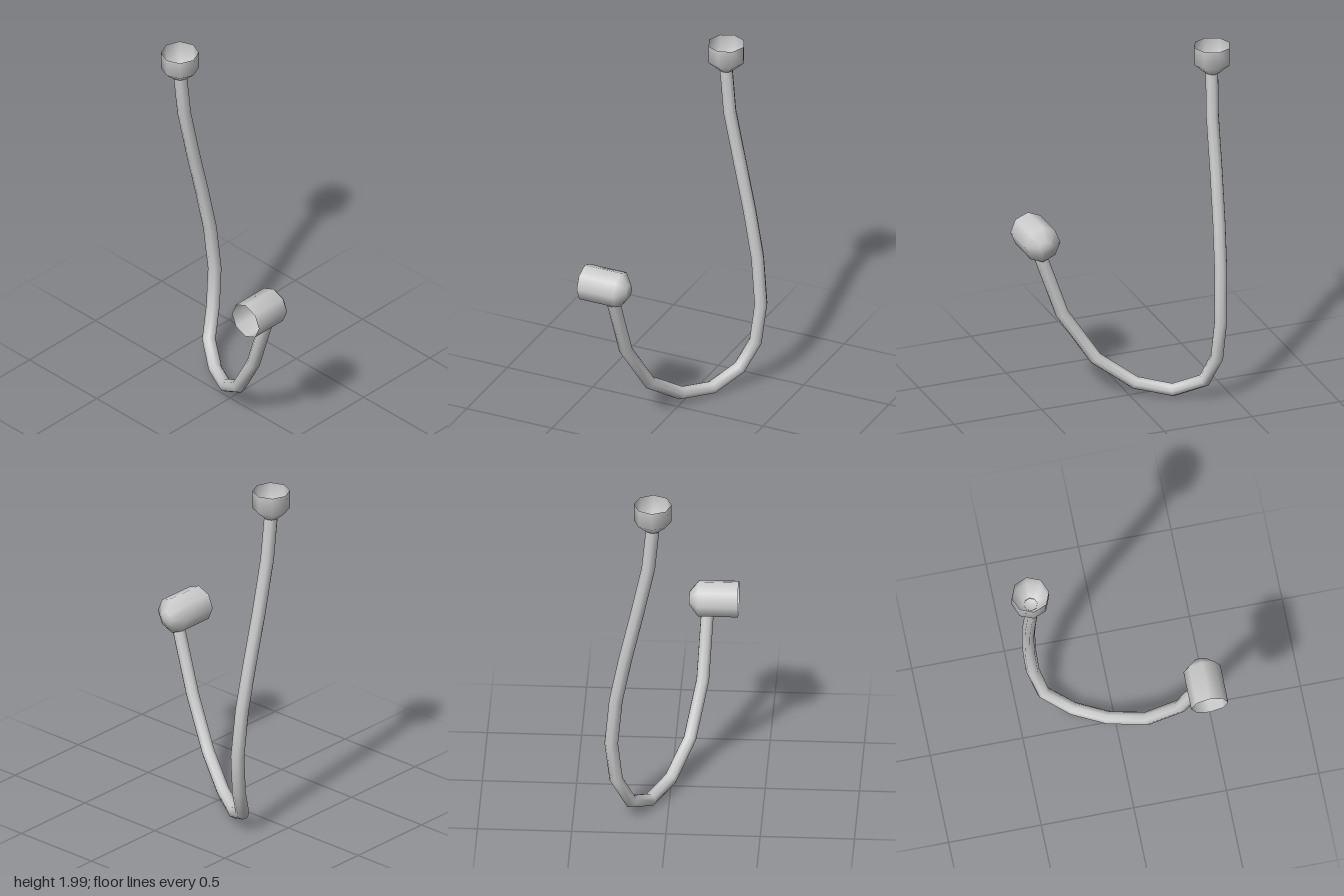
import * as THREE from 'three';

const material = new THREE.MeshStandardMaterial({ color: 0xcccccc, side: THREE.DoubleSide });
const SIDES = 8;

// Open octagonal cup with a tapered, closed base; its mouth faces +y
function makeCup(name, straight, taper) {
  const profile = [[0, 0], [0.037, 0], [0.1, taper], [0.1, taper + straight]]
    .map(([r, y]) => new THREE.Vector2(r, y));
  const cup = new THREE.Mesh(new THREE.LatheGeometry(profile, SIDES), material);
  cup.name = name;
  return cup;
}

export function createModel() {
  const model = new THREE.Group();
  model.name = 'hookedArm';

  // Bent arm: one ring of the tube at every path point
  const path = new THREE.CatmullRomCurve3([
    [0.073, 1.85, -0.443], [0.097, 1.6, -0.437], [0.16, 1.3, -0.433],
    [0.22, 1.03, -0.425], [0.27, 0.77, -0.415], [0.295, 0.5, -0.405],
    [0.27, 0.275, -0.393], [0.195, 0.115, -0.35], [0.1, 0.043, -0.21],
    [0.0, 0.073, -0.035], [-0.092, 0.21, 0.155], [-0.152, 0.475, 0.322],
    [-0.17, 0.815, 0.437],
  ].map((p) => new THREE.Vector3(...p)));
  path.getPointAt = path.getPoint;
  path.getTangentAt = path.getTangent;
  const arm = new THREE.Mesh(
    new THREE.TubeGeometry(path, path.points.length - 1, 0.036, SIDES), material);
  arm.name = 'arm';
  model.add(arm);

  // Upright cup at the top of the arm
  const topCup = makeCup('topCup', 0.1, 0.057);
  topCup.position.set(0.073, 1.843, -0.445);
  model.add(topCup);

  // Sideways cup at the low end, mouth towards -x
  const sideCup = makeCup('sideCup', 0.212, 0.048);
  sideCup.rotation.z = Math.PI / 2;
  sideCup.position.set(-0.075, 0.905, 0.443);
  model.add(sideCup);

  return model;
}
